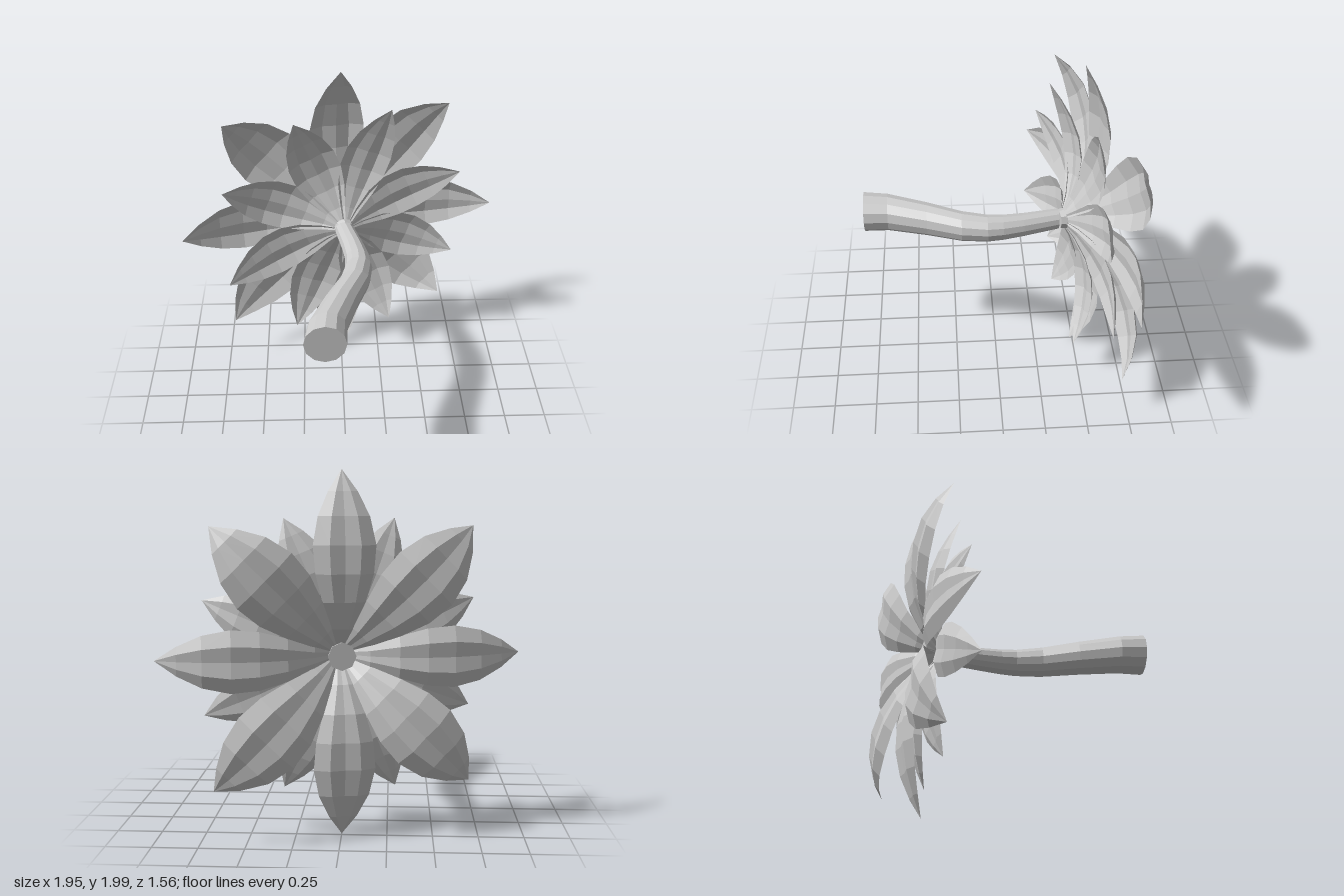
import * as THREE from 'three';

const material = new THREE.MeshStandardMaterial({ color: 0xcccccc, flatShading: true, side: THREE.DoubleSide });

// Surface through rows of points; every row has the same number of points
function loft(rows) {
  const n = rows[0].length, index = [];
  for (let i = 0; i < rows.length - 1; i++) {
    for (let j = 0; j < n - 1; j++) {
      const a = i * n + j, b = a + n;
      index.push(a, a + 1, b, a + 1, b + 1, b);
    }
  }
  const geometry = new THREE.BufferGeometry();
  geometry.setAttribute('position', new THREE.Float32BufferAttribute(rows.flat(2), 3));
  geometry.setIndex(index);
  geometry.computeVertexNormals();
  return geometry;
}

// Leaf growing along +x, gently pleated across its width
// stations are [distance, rise toward -z, half width]; droop lowers the tip
const pleat = [[-1, 0.21], [-0.5, 0], [0, 0.06], [0.5, 0], [1, 0.21]];
function leafGeometry(stations, droop = 0) {
  return loft(stations.map(([r, rise, w]) =>
    pleat.map(([s, fold]) => [r, s * w, -rise + fold * w + droop * r * r])));
}

// Bent, tapering trunk; sections are [x, z, radius]
function trunkGeometry(sections, sides) {
  const ring = (x, z, r) => Array.from({ length: sides + 1 }, (_, i) => {
    const a = (i / sides) * Math.PI * 2;
    return [x + r * Math.cos(a), 1 + r * Math.sin(a), z];
  });
  const first = sections[0], last = sections[sections.length - 1];
  return loft([
    ring(first[0], first[1], 0),
    ...sections.map((s) => ring(...s)),
    ring(last[0], last[1], 0),
  ]);
}

export function createModel() {
  const model = new THREE.Group();
  model.name = 'palmTree';
  const add = (parent, geometry, name) => {
    const mesh = new THREE.Mesh(geometry, material);
    mesh.name = name;
    parent.add(mesh);
    return mesh;
  };

  // Trunk, lying along z with its base at the front
  add(model, trunkGeometry([
    [-0.118, 0.77, 0.116], [-0.105, 0.63, 0.109], [-0.025, 0.4, 0.098], [0.058, 0.2, 0.088],
    [0.088, 0.05, 0.079], [0.085, -0.04, 0.074], [0.066, -0.16, 0.068], [0.02, -0.37, 0.06],
  ], 12), 'trunk');

  // Crown, tilted on the end of the trunk
  const crown = new THREE.Group();
  crown.name = 'crown';
  crown.position.set(0, 1, -0.48);
  crown.rotation.y = 0.213;
  model.add(crown);

  const hub = add(crown, new THREE.CylinderGeometry(0.078, 0.055, 0.13, 8), 'crownHub');
  hub.rotation.x = -Math.PI / 2;
  hub.position.z = 0.045;

  // Upper ring: straight and diagonal leaves alternate
  const upperLeaves = [
    leafGeometry([
      [0.04, -0.05, 0.025], [0.15, 0.04, 0.06], [0.3, 0.11, 0.115], [0.45, 0.14, 0.155],
      [0.6, 0.14, 0.168], [0.75, 0.11, 0.138], [0.88, 0.06, 0.078], [0.995, 0, 0],
    ]),
    leafGeometry([
      [0.04, -0.05, 0.025], [0.15, 0.045, 0.07], [0.3, 0.13, 0.135], [0.45, 0.18, 0.185],
      [0.6, 0.2, 0.2], [0.75, 0.187, 0.165], [0.88, 0.14, 0.09], [0.99, 0.07, 0],
    ]),
  ];

  // Lower ring, between the upper leaves: every second leaf droops more
  const lowerLeaves = [0.05, -0.05].map((droop) => leafGeometry([
    [0.04, -0.08, 0.025], [0.12, -0.03, 0.065], [0.24, 0.02, 0.12], [0.36, 0.045, 0.15],
    [0.48, 0.045, 0.15], [0.6, 0.02, 0.12], [0.7, -0.015, 0.07], [0.8, -0.06, 0],
  ], droop));

  for (let i = 0; i < 8; i++) {
    const angle = (i * Math.PI) / 4;
    add(crown, upperLeaves[i % 2], 'upperLeaf').rotation.z = angle;
    add(crown, lowerLeaves[i % 2], 'lowerLeaf').rotation.z = angle + Math.PI / 8;
  }
  return model;
}
